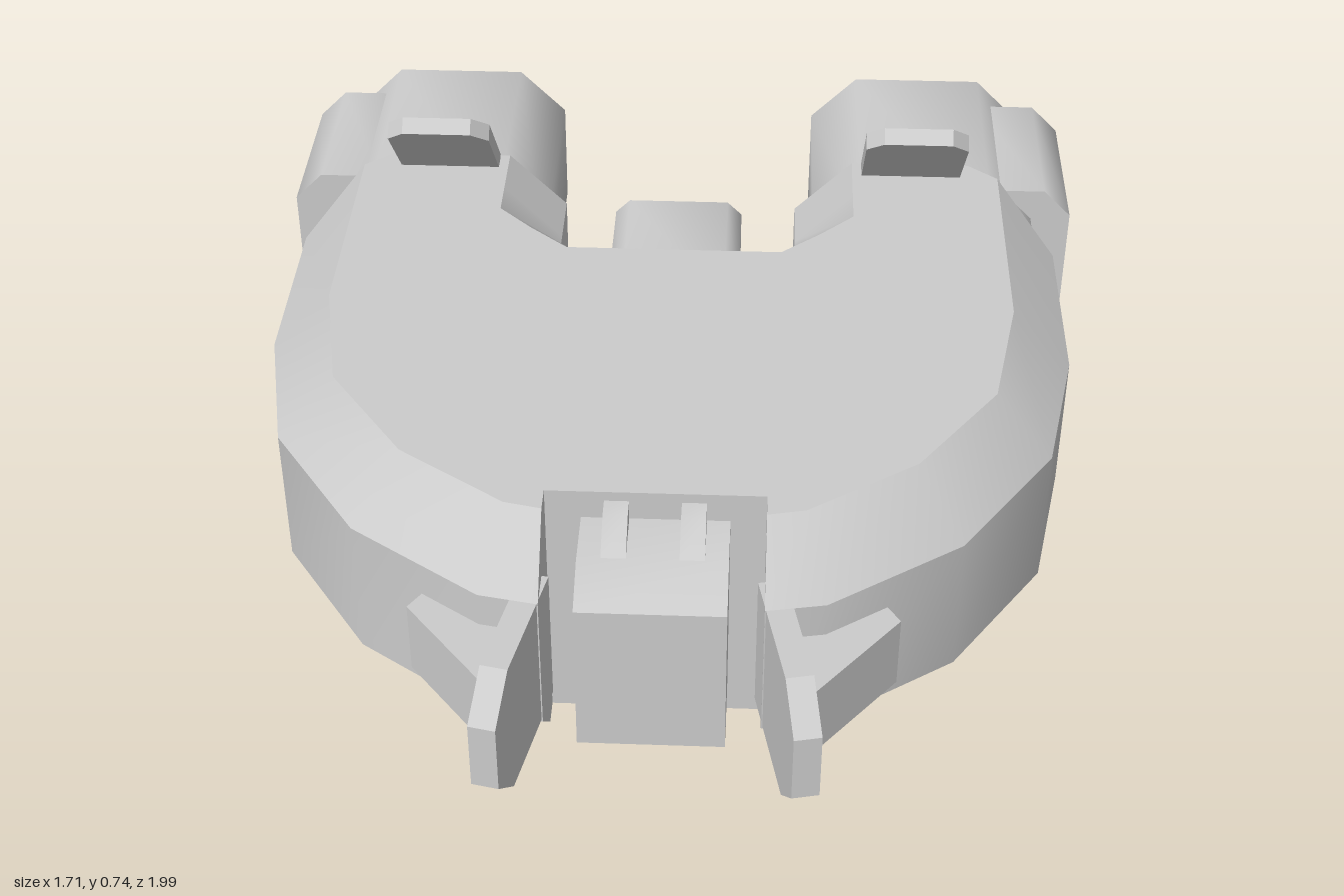
import * as THREE from 'three';
import { toCreasedNormals } from 'three/addons/utils/BufferGeometryUtils.js';

const material = new THREE.MeshStandardMaterial({ color: 0xcccccc });

function addMesh(parent, name, geometry, crease = 0.6) {
  const mesh = new THREE.Mesh(toCreasedNormals(geometry, crease), material);
  mesh.name = name;
  parent.add(mesh);
  return mesh;
}

// Extrudes an outline, centred on its depth
function prism(points, depth) {
  const shape = new THREE.Shape(points.map(([x, y]) => new THREE.Vector2(x, y)));
  return new THREE.ExtrudeGeometry(shape, { depth, bevelEnabled: false }).translate(0, 0, -depth / 2);
}

// Side profile given as (z, y), extruded along x
const sidePrism = (points, width) => prism(points, width).rotateY(-Math.PI / 2);

// Plan outline given as (x, z), extruded along y
const planPrism = (points, height) => prism(points.map(([x, z]) => [x, -z]), height).rotateX(-Math.PI / 2);

// Bar along z with chamfered long edges
function chamferBar(w, h, d, c) {
  const x = w / 2, y = h / 2;
  return prism([[-x, c - y], [c - x, -y], [x - c, -y], [x, c - y],
    [x, y - c], [x - c, y], [c - x, y], [-x, y - c]], d);
}

// U-shaped shell: chamfered cross-sections swept from one arm to the other
function bodyGeometry() {
  // outer edge, outer top edge, inner top edge, inner edge (x, z)
  const half = [
    [[0.2, 0.58], [0.2, 0.58], [0.22, -0.2], [0.17, -0.32]],
    [[0.2, 0.75], [0.2, 0.63], [0.22, -0.2], [0.17, -0.32]],
    [[0.31, 0.73], [0.27, 0.615], [0.22, -0.2], [0.17, -0.32]],
    [[0.56, 0.56], [0.475, 0.475], [0.3, -0.27], [0.21, -0.355]],
    [[0.74, 0.3], [0.63, 0.26], [0.37, -0.34], [0.25, -0.39]],
    [[0.8, 0], [0.68, -0.01], [0.37, -0.42], [0.25, -0.42]],
    [[0.8, -0.39], [0.68, -0.5], [0.37, -0.55], [0.25, -0.55]],
    [[0.62, -0.55], [0.62, -0.55], [0.37, -0.55], [0.25, -0.55]],
  ];
  const mirrored = half.map(s => s.map(([x, z]) => [-x, z])).reverse();
  const sections = [...mirrored, ...half];
  const positions = [], index = [];
  for (const [o, ot, it, i] of sections) {
    const ring = [[o, 0.12], [o, 0.41], [ot, 0.53], [it, 0.53], [i, 0.41], [i, 0.12], [it, 0], [ot, 0]];
    for (const [[x, z], y] of ring) positions.push(x, y, z);
  }
  const last = (sections.length - 1) * 8;
  for (let r = 0; r < last; r += 8) {
    for (let j = 0; j < 8; j++) {
      const a = r + j, b = r + (j + 1) % 8;
      index.push(a, a + 8, b + 8, a, b + 8, b);
    }
  }
  // Flat arm ends
  for (let j = 1; j < 7; j++) {
    index.push(0, j, j + 1, last, last + j + 1, last + j);
  }
  const geometry = new THREE.BufferGeometry();
  geometry.setAttribute('position', new THREE.Float32BufferAttribute(positions, 3));
  geometry.setIndex(index);
  return geometry;
}

export function createModel() {
  const model = new THREE.Group();
  model.name = 'uShapedDevice';
  addMesh(model, 'body', bodyGeometry());

  // Block between the arms
  addMesh(model, 'rearBlock', chamferBar(0.27, 0.43, 0.36, 0.03), 0.9).position.set(0, 0.265, -0.28);

  // Latch block in the front slot
  addMesh(model, 'frontBlock', sidePrism(
    [[0.5, 0.07], [0.7, 0.07], [0.79, 0.11], [0.79, 0.43], [0.7, 0.47], [0.5, 0.47]], 0.27));

  for (const s of [1, -1]) {
    const side = new THREE.Group();
    side.name = s > 0 ? 'leftSide' : 'rightSide';
    model.add(side);

    // Ridge over the latch block
    addMesh(side, 'latchRidge', sidePrism(
      [[0.53, 0.02], [0.62, 0.02], [0.69, 0.07], [0.69, 0.47], [0.62, 0.51], [0.53, 0.51]], 0.045))
      .position.x = s * 0.07;

    // Arm tube and its outer pad
    addMesh(side, 'armTube', chamferBar(0.48, 0.43, 0.6, 0.1), 0.9).position.set(s * 0.53, 0.265, -0.7);
    addMesh(side, 'sidePad', chamferBar(0.25, 0.37, 0.36, 0.06), 0.9).position.set(s * 0.73, 0.265, -0.76);

    // Tilted tab on top of the arm
    const tab = addMesh(side, 'topTab', prism(
      [[-0.105, -0.03], [0.105, -0.03], [0.105, 0.205], [0.07, 0.245], [-0.07, 0.245], [-0.105, 0.205]], 0.035));
    tab.position.set(s * 0.495, 0.545, -0.512);
    tab.rotation.x = 0.755;

    // Splayed front plate and its wedge brace
    const plate = addMesh(side, 'frontPlate', sidePrism(
      [[-0.08, 0.125], [0.165, 0.125], [0.245, 0.2], [0.245, 0.34], [0.165, 0.41], [-0.08, 0.41]], 0.05));
    plate.position.set(s * 0.228, 0, 0.75);
    plate.rotation.y = s * 0.205;
    addMesh(side, 'plateBrace', planPrism(
      [[0.4, 0.62], [0.445, 0.69], [0.28, 0.89], [0.24, 0.75], [0.3, 0.65]].map(([x, z]) => [s * x, z]), 0.15))
      .position.y = 0.265;
  }
  return model;
}
